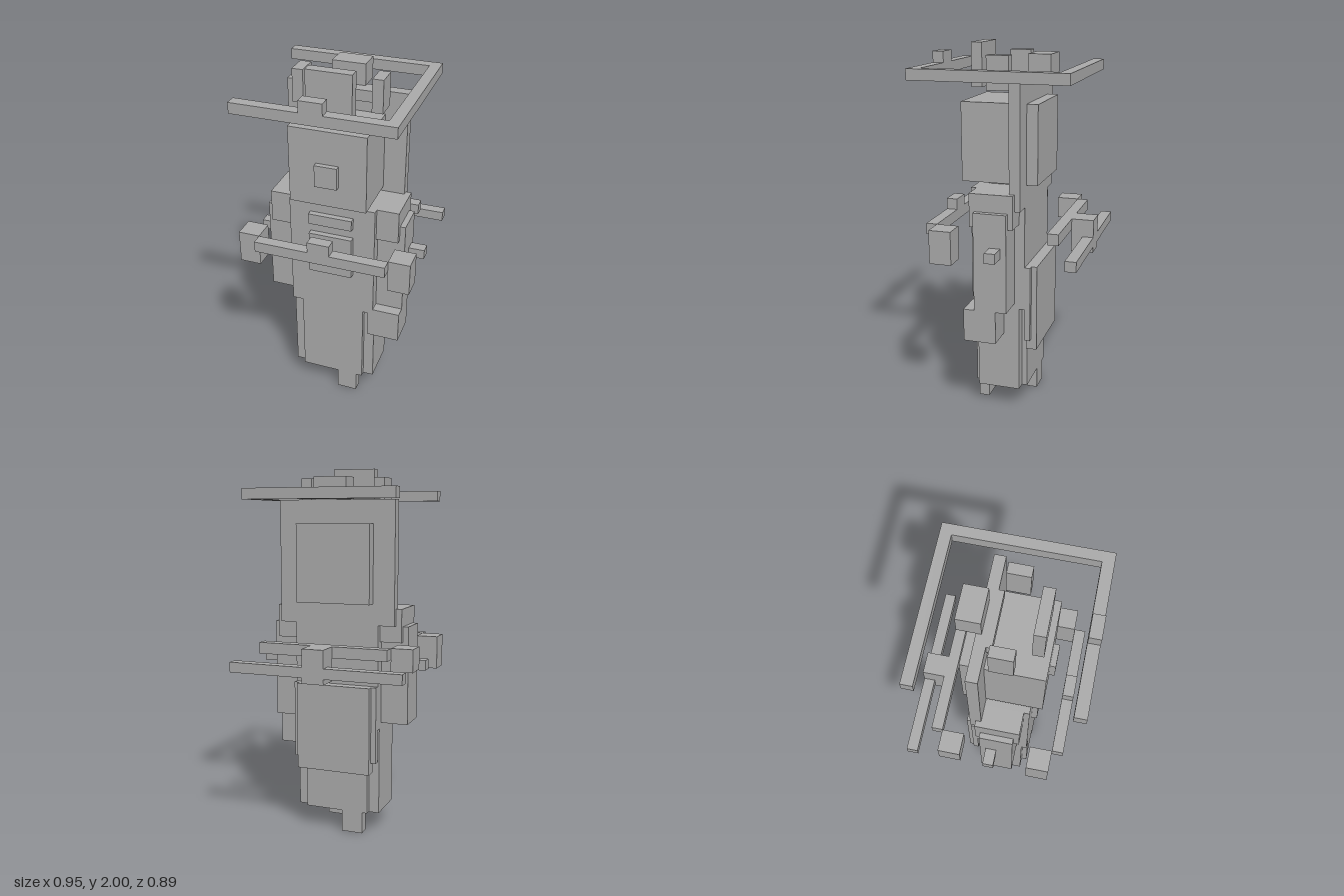
import * as THREE from 'three';

export function createModel() {
  const model = new THREE.Group();
  const gray = new THREE.MeshStandardMaterial({ color: 0xaaaaaa });
  gray.name = 'gray';

  // Box from its lower and upper limits on each axis
  function box(name, x0, x1, y0, y1, z0, z1) {
    const mesh = new THREE.Mesh(new THREE.BoxGeometry(x1 - x0, y1 - y0, z1 - z0), gray);
    mesh.position.set((x0 + x1) / 2, (y0 + y1) / 2, (z0 + z1) / 2);
    mesh.name = name;
    model.add(mesh);
  }
  // Box centred on x = 0
  const mid = (name, half, ...rest) => box(name, -half, half, ...rest);
  // The same box on both sides
  function pair(name, x0, x1, ...rest) {
    box(name + 'Left', x0, x1, ...rest);
    box(name + 'Right', -x1, -x0, ...rest);
  }

  // Feet in mid-step
  box('footLeft', 0.03, 0.145, 0, 0.12, 0.12, 0.178);
  box('footRight', -0.15, -0.03, 0, 0.12, -0.117, -0.06);

  // Robe and torso
  mid('skirt', 0.18, 0.12, 0.6, -0.117, 0.178);
  pair('skirtSide', 0.18, 0.238, 0.12, 0.6, -0.087, 0.148);
  mid('torso', 0.238, 0.6, 1.26, -0.117, 0.178);
  mid('chestPlate', 0.12, 1.14, 1.2, 0.178, 0.21);
  mid('bellyPlate', 0.12, 0.84, 1.08, 0.178, 0.21);
  mid('backPad', 0.238, 0.42, 0.84, -0.147, -0.117);
  mid('backPanel', 0.21, 0.36, 0.84, -0.177, -0.117);

  // Arms, shoulders and hip pouch
  pair('shoulder', 0.238, 0.358, 1.08, 1.26, -0.087, 0.148);
  pair('arm', 0.238, 0.388, 0.63, 1.165, -0.06, 0.118);
  pair('elbowStud', 0.388, 0.475, 0.93, 0.985, -0.028, 0.03);
  box('hipPouch', 0.208, 0.388, 0.45, 0.63, 0, 0.178);

  // Head
  mid('neck', 0.12, 1.26, 1.285, -0.06, 0.118);
  mid('head', 0.208, 1.285, 1.705, -0.06, 0.238);
  mid('nose', 0.06, 1.405, 1.525, 0.238, 0.267);
  mid('hoodPlate', 0.327, 1.17, 1.83, -0.117, -0.058);
  mid('hoodBackPanel', 0.208, 1.285, 1.705, -0.177, -0.117);
  mid('hoodRidge', 0.148, 1.77, 1.83, -0.058, -0.03);

  // Crown pieces
  mid('crest', 0.12, 1.77, 2, 0.15, 0.208);
  pair('ear', 0.18, 0.238, 1.77, 1.945, -0.03, 0.088);
  mid('crownBlock', 0.09, 1.83, 1.945, -0.21, -0.09);

  // Head ring, open on one side
  box('ringFront', -0.415, 0.415, 1.828, 1.885, 0.387, 0.447);
  box('ringBack', -0.415, 0.415, 1.828, 1.885, -0.387, -0.328);
  box('ringSide', 0.357, 0.415, 1.828, 1.885, -0.328, 0.387);
  mid('ringStud', 0.06, 1.885, 1.945, 0.387, 0.447);

  // Floating belt around the waist
  mid('beltFront', 0.358, 1.02, 1.08, 0.327, 0.387);
  mid('beltFrontStud', 0.06, 1.08, 1.14, 0.327, 0.387);
  pair('beltFrontBlock', 0.358, 0.475, 0.9, 1.08, 0.208, 0.327);
  mid('beltBack', 0.358, 1.02, 1.08, -0.328, -0.268);
  box('beltBackBlock', -0.475, -0.358, 0.96, 1.08, -0.268, -0.15);
  mid('beltBuckle', 0.06, 0.9, 1.08, -0.447, -0.328);
  mid('beltRearBar', 0.475, 0.93, 0.985, -0.447, -0.388);

  return model;
}
